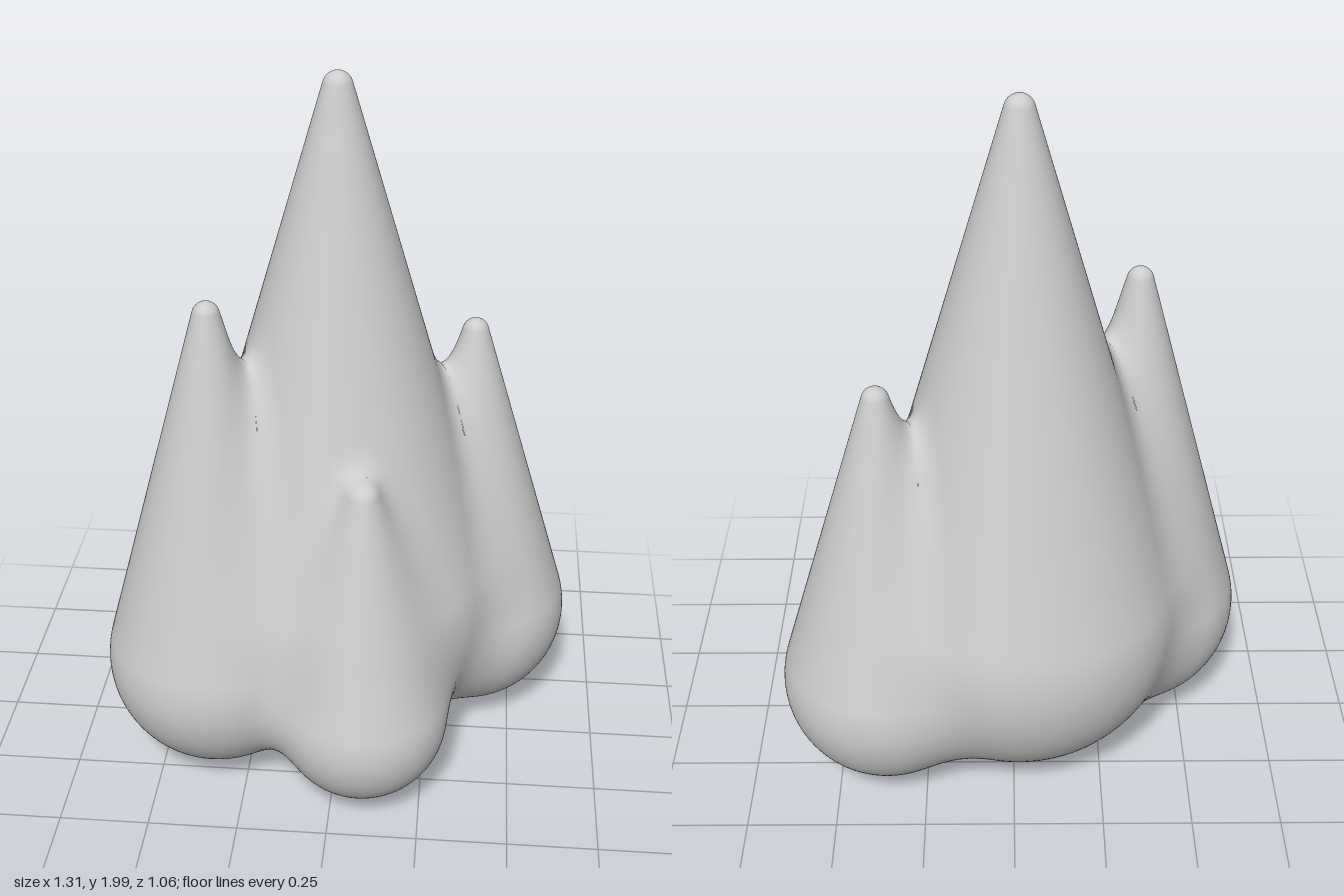
import * as THREE from 'three';

// Each spire is a big low ball tapering to a small rounded tip
const SPIRES = [
  { name: 'mainSpire', x: -0.015, z: -0.07, y: 0.465, R: 0.458, top: 2.0, r: 0.04 },
  { name: 'rightSpire', x: -0.342, z: 0.12, y: 0.34, R: 0.315, top: 1.44, r: 0.037 },
  { name: 'leftSpire', x: 0.357, z: -0.212, y: 0.325, R: 0.295, top: 1.265, r: 0.037 },
  { name: 'frontSpire', x: 0.083, z: 0.29, y: 0.272, R: 0.238, top: 1.0, r: 0.035 },
];
for (const s of SPIRES) {
  s.h = s.top - s.r - s.y;
  s.sin = (s.R - s.r) / s.h;
  s.cos = Math.sqrt(1 - s.sin * s.sin);
}
const BLEND = 0.1;
const REACH = 0.08; // how deep a vertex may sit and still be pushed out

// Distance from a point to one spire
function spireDistance(s, p) {
  const q = Math.hypot(p.x - s.x, p.z - s.z);
  const y = p.y - s.y;
  const k = -q * s.sin + y * s.cos;
  if (k < 0) return Math.hypot(q, y) - s.R;
  if (k > s.cos * s.h) return Math.hypot(q, y - s.h) - s.r;
  return q * s.cos + y * s.sin - s.R;
}

// Distance to all spires, softly melted together
function distance(p) {
  let d = spireDistance(SPIRES[0], p);
  for (let i = 1; i < SPIRES.length; i++) {
    const e = spireDistance(SPIRES[i], p);
    const t = Math.max(BLEND - Math.abs(d - e), 0) / BLEND;
    d = Math.min(d, e) - t * t * BLEND * 0.25;
  }
  return d;
}

function gradient(p, out) {
  const e = 0.002;
  const q = p.clone();
  for (const axis of ['x', 'y', 'z']) {
    q[axis] = p[axis] + e;
    const a = distance(q);
    q[axis] = p[axis] - e;
    out[axis] = (a - distance(q)) / (2 * e);
    q[axis] = p[axis];
  }
  return out;
}

// Lathe profile: ball, straight flank, tip
function spireProfile(s) {
  const pts = [];
  const a = Math.asin(s.sin);
  const arc = (cy, r, from, to, n) => {
    for (let i = 0; i <= n; i++) {
      const t = from + ((to - from) * i) / n;
      pts.push(new THREE.Vector2(Math.max(0, r * Math.cos(t)), cy + r * Math.sin(t)));
    }
  };
  arc(s.y, s.R, -Math.PI / 2, a, 36);
  const start = pts[pts.length - 1].clone();
  const end = new THREE.Vector2(s.r * s.cos, s.y + s.h + s.r * s.sin);
  for (let i = 1; i < 50; i++) pts.push(start.clone().lerp(end, i / 50));
  arc(s.y + s.h, s.r, a, Math.PI / 2, 8);
  return pts;
}

// Turn a spire, then pull its vertices onto the melted surface
function buildSpire(s, material) {
  const geo = new THREE.LatheGeometry(spireProfile(s), 96);
  geo.translate(s.x, 0, s.z);
  const pos = geo.attributes.position;
  const normal = geo.attributes.normal;
  const p = new THREE.Vector3();
  const g = new THREE.Vector3();
  const visible = [];
  for (let i = 0; i < pos.count; i++) {
    p.fromBufferAttribute(pos, i);
    visible[i] = distance(p) > -REACH;
    if (!visible[i]) continue;
    for (let n = 0; n < 7; n++) {
      const d = distance(p);
      gradient(p, g);
      p.addScaledVector(g, -d / Math.max(g.lengthSq(), 0.3));
    }
    pos.setXYZ(i, p.x, Math.max(p.y, 0), p.z);
    gradient(p, g).normalize();
    normal.setXYZ(i, g.x, g.y, g.z);
  }
  // Drop the faces buried inside the other spires
  const index = geo.index.array;
  const kept = [];
  for (let i = 0; i < index.length; i += 3) {
    const [a, b, c] = [index[i], index[i + 1], index[i + 2]];
    if (visible[a] && visible[b] && visible[c]) kept.push(a, b, c);
  }
  geo.setIndex(kept);
  const mesh = new THREE.Mesh(geo, material);
  mesh.name = s.name;
  return mesh;
}

export function createModel() {
  const group = new THREE.Group();
  group.name = 'spireCluster';
  const stone = new THREE.MeshStandardMaterial({ color: 0xcccccc });
  stone.name = 'paleGrey';
  for (const s of SPIRES) group.add(buildSpire(s, stone));
  return group;
}
